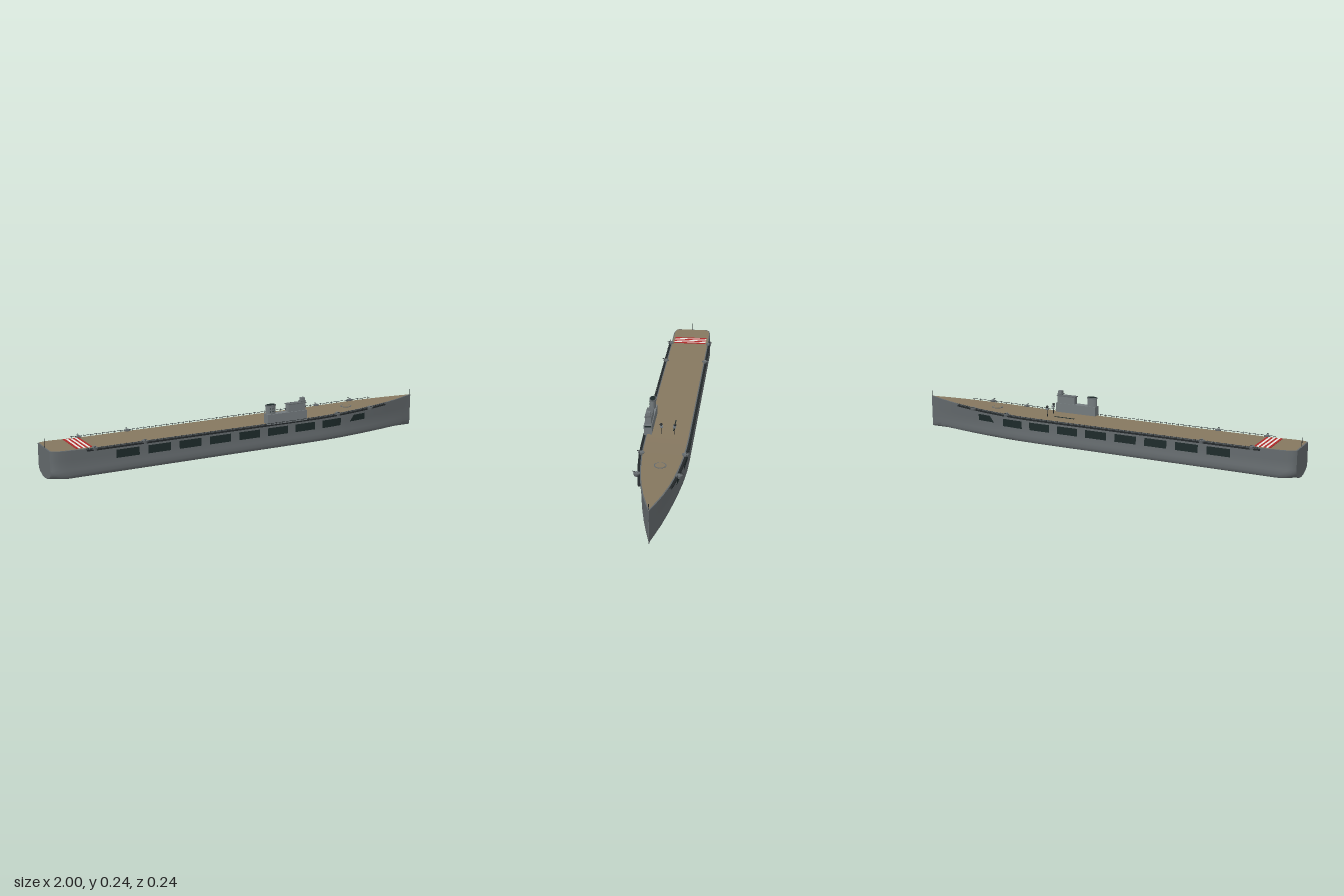
import * as THREE from 'three';
import { mergeGeometries, toCreasedNormals } from 'three/addons/utils/BufferGeometryUtils.js';

const mat = (name, color) => Object.assign(new THREE.MeshStandardMaterial({ color }), { name });

// plan outline of the deck edge: [x, half width]
const PLAN = [[-1, 0.08], [-0.992, 0.088], [-0.98, 0.094], [-0.96, 0.099], [-0.93, 0.101], [0.3, 0.101], [0.42, 0.099],
  [0.52, 0.094], [0.62, 0.085], [0.7, 0.075], [0.78, 0.062], [0.86, 0.044], [0.93, 0.024], [1, 0.001]];

function halfWidth(x) {
  let i = 0;
  while (i < PLAN.length - 2 && x > PLAN[i + 1][0]) i++;
  const [a, b] = [PLAN[i], PLAN[i + 1]];
  return a[1] + (b[1] - a[1]) * (x - a[0]) / (b[0] - a[0]);
}
const deckY = x => 0.135 + 0.024 * Math.pow(Math.max(0, (x - 0.35) / 0.65), 1.4) + 0.005 * Math.max(0, (-x - 0.8) / 0.2);
// half width at the bulge: fuller than the deck amidships, finer at the bow
const bulge = x => halfWidth(x) * (1.035 - 0.16 * THREE.MathUtils.smoothstep(x, 0.35, 0.9));
const sideAt = (x, y) => {
  const t = THREE.MathUtils.clamp((y - 0.055) / (deckY(x) - 0.055), 0, 1);
  return THREE.MathUtils.lerp(bulge(x) * 0.98, halfWidth(x), t);
};

// surface through rows of points, each row the same length
function loft(rows, crease = 0.6) {
  const n = rows[0].length, index = [];
  for (let i = 0; i < rows.length - 1; i++)
    for (let j = 0; j < n - 1; j++) {
      const a = i * n + j, b = a + 1, c = a + n, d = c + 1;
      index.push(a, b, c, b, d, c);
    }
  const g = new THREE.BufferGeometry();
  g.setAttribute('position', new THREE.Float32BufferAttribute(rows.flat(2), 3));
  g.setIndex(index);
  return toCreasedNormals(g, crease);
}
const range = (a, b, n) => Array.from({ length: n + 1 }, (_, i) => a + (b - a) * i / n);

// rectangular rail following the deck edge, on one side
function edgeRail(side, x0, x1, inner, outer, low, high) {
  return loft(range(x0, x1, 60).map(x => {
    const w = halfWidth(x), y = deckY(x);
    const ring = [[inner, high], [outer, high], [outer, low], [inner, low], [inner, high]]
      .map(([dz, dy]) => [x, y + dy, side * (w + dz)]);
    return side > 0 ? ring : ring.reverse();
  }));
}

export function createModel() {
  const M = {
    hull: mat('hull grey', 0x63696c), deck: mat('deck brown', 0x85775f), dark: mat('opening dark', 0x1c2929),
    rail: mat('rail black', 0x23282a), steel: mat('superstructure grey', 0x737a7d),
    red: mat('stripe red', 0xb02a2a), white: mat('stripe white', 0xe6e4de),
  };
  const root = new THREE.Group();
  root.name = 'ship';
  const add = (name, geo, m, parent = root) => {
    const mesh = new THREE.Mesh(geo, m);
    mesh.name = name;
    parent.add(mesh);
    return mesh;
  };
  // box given by its limits
  const box = (x0, x1, y0, y1, z0, z1) =>
    new THREE.BoxGeometry(x1 - x0, y1 - y0, z1 - z0).translate((x0 + x1) / 2, (y0 + y1) / 2, (z0 + z1) / 2);

  // hull sections run from the left deck edge round the keel to the right edge
  const stations = [...new Set([...PLAN.map(p => p[0]), ...range(-0.9, 0.98, 47)])].sort((a, b) => a - b);
  const section = x => {
    const w = halfWidth(x), b = bulge(x), lift = 0.022 * Math.max(0, (-x - 0.94) / 0.06);
    const half = [[w, deckY(x)], [sideAt(x, 0.095), 0.095], [b * 0.98, 0.055], [b, 0.046], [b, 0.028 + lift],
      [b * 0.985, 0.017 + lift], [b * 0.94, 0.011 + lift * 0.7], [b * 0.75, 0.008 + lift * 0.3], [b * 0.4, 0.004]];
    return [...half.map(([z, y]) => [x, y, z]), [x, 0, 0], ...half.reverse().map(([z, y]) => [x, y, -z])];
  };
  const rows = stations.map(section);
  add('hull', loft(rows, 0.9), M.hull);
  add('transom', loft([rows[0].map(() => [-1, 0.09, 0]), rows[0]]), M.hull);
  const transomTop = rows[0];
  add('transomTop', loft([[transomTop[0], transomTop.at(-1)].reverse(), [[-1, 0.09, 0], [-1, 0.09, 0]]]), M.hull).material.side = THREE.DoubleSide;

  // deck edge plating and the planked flight deck
  const deckStrip = (inset, dy) => loft(stations.map(x => {
    const w = Math.max(0.0005, halfWidth(x) - inset);
    return [[Math.max(x, -1 + inset), deckY(x) + dy, -w], [Math.max(x, -1 + inset), deckY(x) + dy, w]];
  }));
  add('deckEdge', deckStrip(0, 0), M.hull);
  add('flightDeck', deckStrip(0.005, 0.0015), M.deck);

  // stern stripes across the deck
  range(-0.88, -0.8144, 6).forEach((x, i) => {
    const y = deckY(x);
    add('deckStripe', box(x, x + 0.0109, y - 0.001, y + 0.0035, -0.086, 0.086), i % 2 ? M.white : M.red);
  });

  // deck fittings
  const ring = add('deckRing', new THREE.CylinderGeometry(0.028, 0.028, 0.003, 24), M.hull);
  ring.position.set(0.595, deckY(0.595) + 0.0015, 0);
  ring.rotation.z = 0.02;
  const ringInner = add('deckRingCentre', new THREE.CylinderGeometry(0.023, 0.023, 0.003, 24), M.deck);
  ringInner.position.set(0.595, deckY(0.595) + 0.0022, 0);
  ringInner.rotation.z = 0.02;
  add('deckSlot', box(0.14, 0.25, 0.135, 0.139, -0.024, -0.02), M.dark);

  for (const side of [1, -1]) {
    // hangar openings
    const opening = (x0, x1, y0, y1, slant) => loft(range(0, 1, 6).map(t => {
      const pts = [y1, y0].map((y, k) => {
        const x = x0 + (k ? 0 : slant) + (x1 - x0 - (k ? 0 : slant)) * t;
        return [x, y, side * (sideAt(x, y) + 0.0018)];
      });
      return side > 0 ? pts : pts.reverse();
    }));
    for (let i = 0; i < 8; i++) {
      const x = -0.698 + i * 0.1555;
      add('hangarOpening', opening(x, x + 0.112, 0.076, 0.114, 0), M.dark);
    }
    add('forwardOpening', opening(0.56, 0.657, 0.086, 0.118, 0.025), M.dark);

    // gallery walkway with rails and posts
    add('gallery', edgeRail(side, -0.84, 0.79, -0.003, 0.011, -0.009, -0.003), M.rail);
    add('galleryRail', edgeRail(side, -0.84, 0.79, 0.0095, 0.011, 0.003, 0.0045), M.rail);
    const posts = range(-0.83, 0.78, 54).map(x => {
      const y = deckY(x), z = side * (halfWidth(x) + 0.01);
      return box(x - 0.0008, x + 0.0008, y - 0.004, y + 0.007, z - 0.0008, z + 0.0008);
    });
    add('galleryPosts', mergeGeometries(posts), M.rail);

    // gun tubs
    for (const x of [-0.8, -0.56, 0.48, 0.68]) {
      const tub = new THREE.Group();
      tub.name = 'gunTub';
      tub.position.set(x, deckY(x), side * (halfWidth(x) + (x > 0.6 ? 0.014 : 0.002)));
      root.add(tub);
      add('tub', new THREE.CylinderGeometry(0.015, 0.012, 0.013, 14).translate(0, -0.002, 0), M.hull, tub);
      add('gunMount', box(-0.005, 0.005, 0.004, 0.01, -0.005, 0.005), M.steel, tub);
      for (const dx of [-0.0025, 0.0025])
        add('gunBarrel', new THREE.CylinderGeometry(0.001, 0.001, 0.02, 6)
          .rotateX(side * 1.35).translate(dx, 0.01, side * 0.009), M.rail, tub);
    }

    // signal lamps beside the island
    add('lampPost', box(0.284, 0.286, 0.135, 0.172, side * 0.03 - 0.001, side * 0.03 + 0.001), M.rail);
    add('lampBase', box(0.279, 0.291, 0.17, 0.178, side * 0.03 - 0.007, side * 0.03 + 0.007), M.steel);
    add('lamp', new THREE.SphereGeometry(0.0065, 14, 10).translate(0.285, 0.185, side * 0.032), M.rail);
  }

  // island superstructure on the left edge
  const island = new THREE.Group();
  island.name = 'island';
  root.add(island);
  add('islandBase', box(0.075, 0.295, 0.128, 0.182, 0.074, 0.111), M.steel, island);
  add('bridge', box(0.192, 0.288, 0.18, 0.219, 0.077, 0.106), M.steel, island);
  add('bridgeRoof', box(0.188, 0.291, 0.217, 0.221, 0.075, 0.108), M.hull, island);
  add('bridgeTop', box(0.268, 0.288, 0.22, 0.243, 0.082, 0.101), M.steel, island);
  add('bridgeTopLedge', box(0.264, 0.291, 0.224, 0.228, 0.079, 0.104), M.hull, island);
  add('bridgeWindows', box(0.289, 0.2965, 0.171, 0.179, 0.077, 0.108), M.dark, island);
  add('funnel', new THREE.CylinderGeometry(0.5, 0.5, 0.05, 20).scale(0.052, 1, 0.03).translate(0.1, 0.2, 0.092), M.steel, island);
  add('funnelCap', new THREE.CylinderGeometry(0.5, 0.5, 0.005, 20).scale(0.057, 1, 0.034).translate(0.1, 0.224, 0.092), M.hull, island);
  add('funnelMouth', new THREE.CylinderGeometry(0.5, 0.5, 0.002, 20).scale(0.046, 1, 0.026).translate(0.1, 0.227, 0.092), M.dark, island);
  for (const x of [0.09, 0.102])
    for (const y of [0.193, 0.207])
      add('porthole', box(x, x + 0.004, y, y + 0.004, 0.103, 0.1085), M.dark, island);

  // flagstaffs at both ends
  add('bowStaff', box(0.993, 0.995, 0.155, 0.188, -0.001, 0.001), M.rail);
  add('sternStaff', box(-0.996, -0.994, 0.138, 0.18, -0.001, 0.001), M.rail);
  return root;
}
